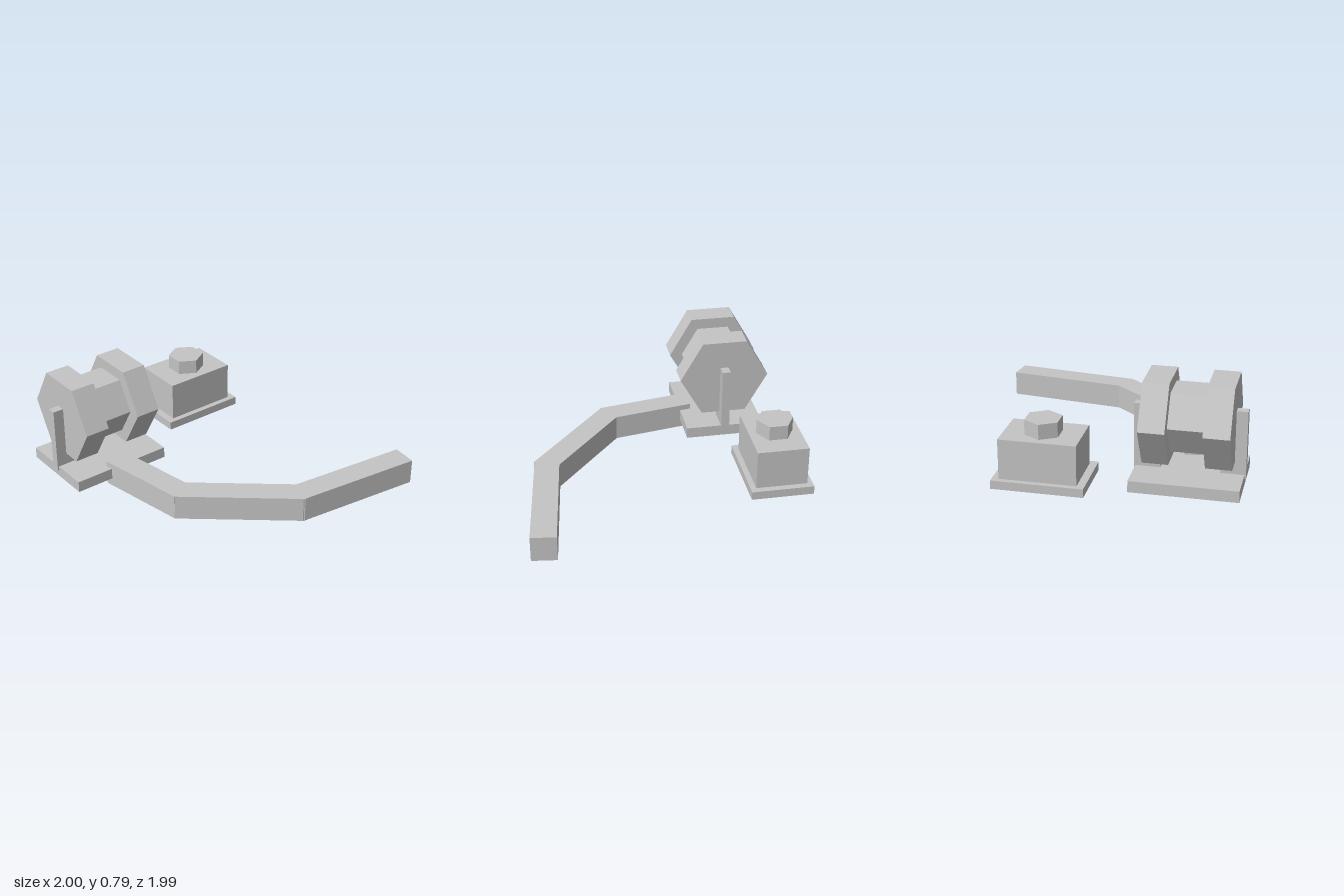
import * as THREE from 'three';

export function createModel() {
  const root = new THREE.Group();
  const grey = new THREE.MeshStandardMaterial({ color: 0xc4c4c4, flatShading: true });
  grey.name = 'grey';

  const add = (parent, name, geometry) => {
    const mesh = new THREE.Mesh(geometry, grey);
    mesh.name = name;
    parent.add(mesh);
    return mesh;
  };
  // Box given by its lower and upper limits
  const block = (parent, name, [x0, x1], [y0, y1], [z0, z1]) =>
    add(parent, name, new THREE.BoxGeometry(x1 - x0, y1 - y0, z1 - z0))
      .position.set((x0 + x1) / 2, (y0 + y1) / 2, (z0 + z1) / 2);
  const group = (name) => {
    const g = new THREE.Group();
    g.name = name;
    root.add(g);
    return g;
  };

  // Hose reel: base plate, two posts and a hexagonal spool lying along x
  const reel = group('hoseReel');
  block(reel, 'reelBase', [-0.99, -0.26], [0.06, 0.14], [-0.85, -0.28]);
  block(reel, 'rightPost', [-1.0, -0.83], [0.11, 0.585], [-0.595, -0.535]);
  block(reel, 'leftPost', [-0.43, -0.25], [0.11, 0.585], [-0.595, -0.535]);
  const spoolPart = (name, radius, x0, x1) =>
    add(reel, name, new THREE.CylinderGeometry(radius, radius, x1 - x0, 6).rotateZ(Math.PI / 2))
      .position.set((x0 + x1) / 2, 0.505, -0.565);
  spoolPart('rightFlange', 0.325, -0.923, -0.747);
  spoolPart('leftFlange', 0.325, -0.505, -0.329);
  spoolPart('spoolHub', 0.235, -0.76, -0.49);

  // Valve box with a hexagonal cap
  const valve = group('valveBox');
  block(valve, 'valveBase', [0, 0.625], [0.06, 0.12], [-0.995, -0.555]);
  block(valve, 'valveBody', [0.053, 0.578], [0.12, 0.4], [-0.957, -0.595]);
  add(valve, 'valveCap', new THREE.CylinderGeometry(0.13, 0.13, 0.105, 6))
    .position.set(0.315, 0.4525, -0.777);

  // Hose: straight lengths that overlap slightly at the bends
  const hose = group('hose');
  const path = [[-0.637, -0.345], [-0.526, 0.268], [0.101, 0.793], [0.985, 0.904]]
    .map(([x, z]) => new THREE.Vector3(x, 0.09, z));
  for (let i = 0; i < 3; i++) {
    const dir = path[i + 1].clone().sub(path[i]).normalize();
    const a = path[i].clone().addScaledVector(dir, i > 0 ? -0.033 : 0);
    const b = path[i + 1].clone().addScaledVector(dir, i < 2 ? 0.033 : 0);
    const length = add(hose, 'hoseLength' + (i + 1), new THREE.BoxGeometry(0.174, 0.18, a.distanceTo(b)));
    length.position.copy(a).lerp(b, 0.5);
    length.rotation.y = Math.atan2(dir.x, dir.z);
  }
  return root;
}
